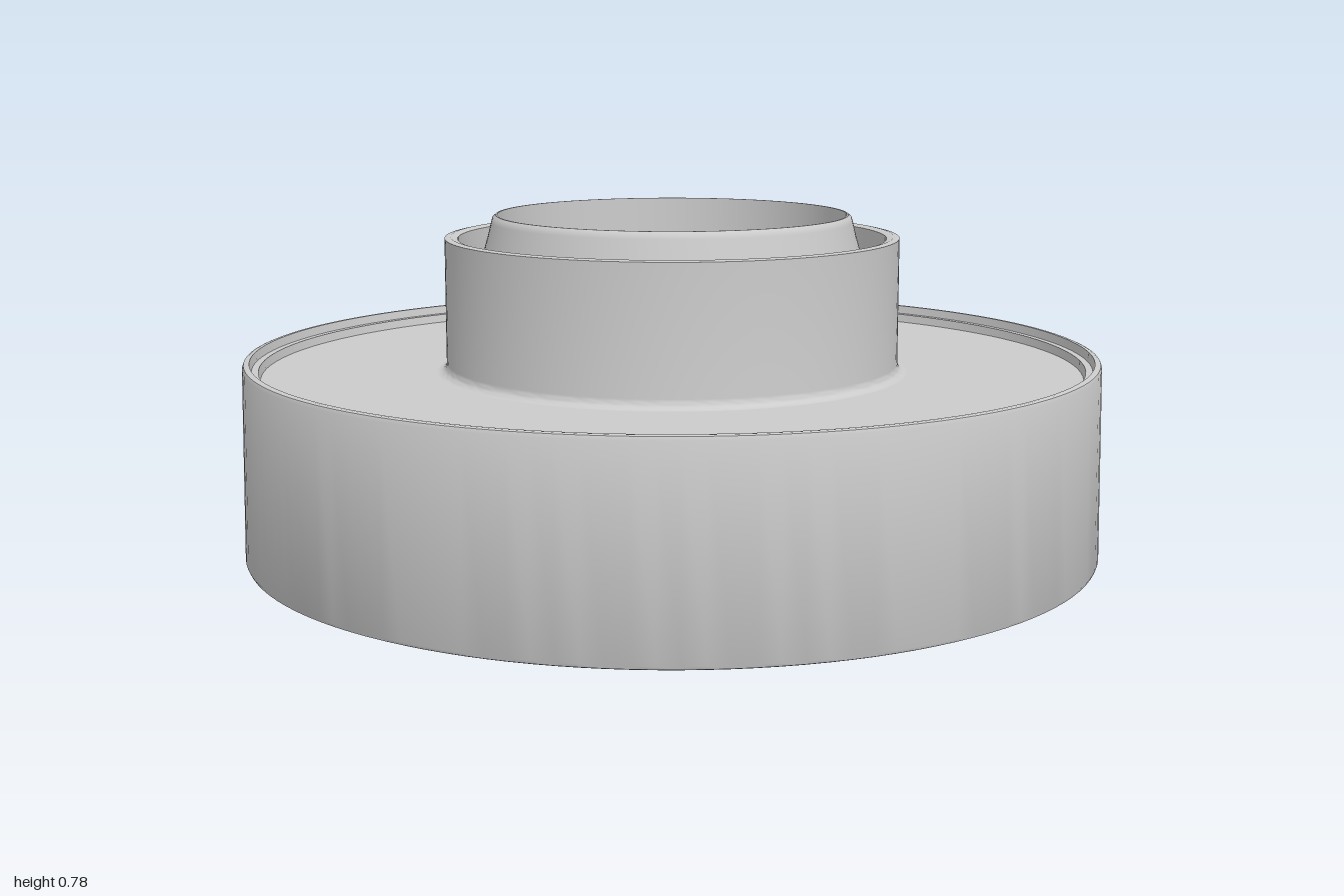
import * as THREE from 'three';
import { toCreasedNormals } from 'three/addons/utils/BufferGeometryUtils.js';

const material = new THREE.MeshStandardMaterial({ color: 0xcccccc, side: THREE.DoubleSide });

// Revolves a profile of [radius, height] pairs, keeping sharp edges sharp
function turned(name, profile) {
  const points = profile.map(([r, y]) => new THREE.Vector2(r, y));
  const geometry = toCreasedNormals(new THREE.LatheGeometry(points, 128), 0.6);
  const mesh = new THREE.Mesh(geometry, material);
  mesh.name = name;
  return mesh;
}

export function createModel() {
  const group = new THREE.Group();
  group.name = 'turnedBase';

  // Wide drum with a slight draft, a thin raised rim and a stepped recess
  group.add(turned('drum', [
    [0, 0], [0.99, 0], [0.997, 0.003], [1, 0.01],
    [0.993, 0.45], [0.99, 0.458], [0.985, 0.46], [0.977, 0.46],
    [0.973, 0.44], [0.957, 0.44], [0.953, 0.42], [0.55, 0.42],
  ]));

  // Upright collar, blended into the drum by a small fillet
  const fillet = [];
  for (let i = 0; i <= 6; i++) {
    const a = (i / 6) * Math.PI / 2;
    fillet.push([0.55 - 0.022 * Math.sin(a), 0.442 - 0.022 * Math.cos(a)]);
  }
  group.add(turned('collar', [
    ...fillet, [0.528, 0.732], [0.514, 0.735], [0.498, 0.73], [0.496, 0.5],
  ]));

  // Tapered inner ring rising from the groove, with a softened lip
  group.add(turned('innerRing', [
    [0.496, 0.5], [0.428, 0.735], [0.42, 0.768], [0.417, 0.778],
    [0.41, 0.784], [0.406, 0.784], [0.404, 0.58],
  ]));

  // Flat floor inside the ring
  group.add(turned('socketFloor', [[0.404, 0.58], [0, 0.58]]));

  return group;
}
